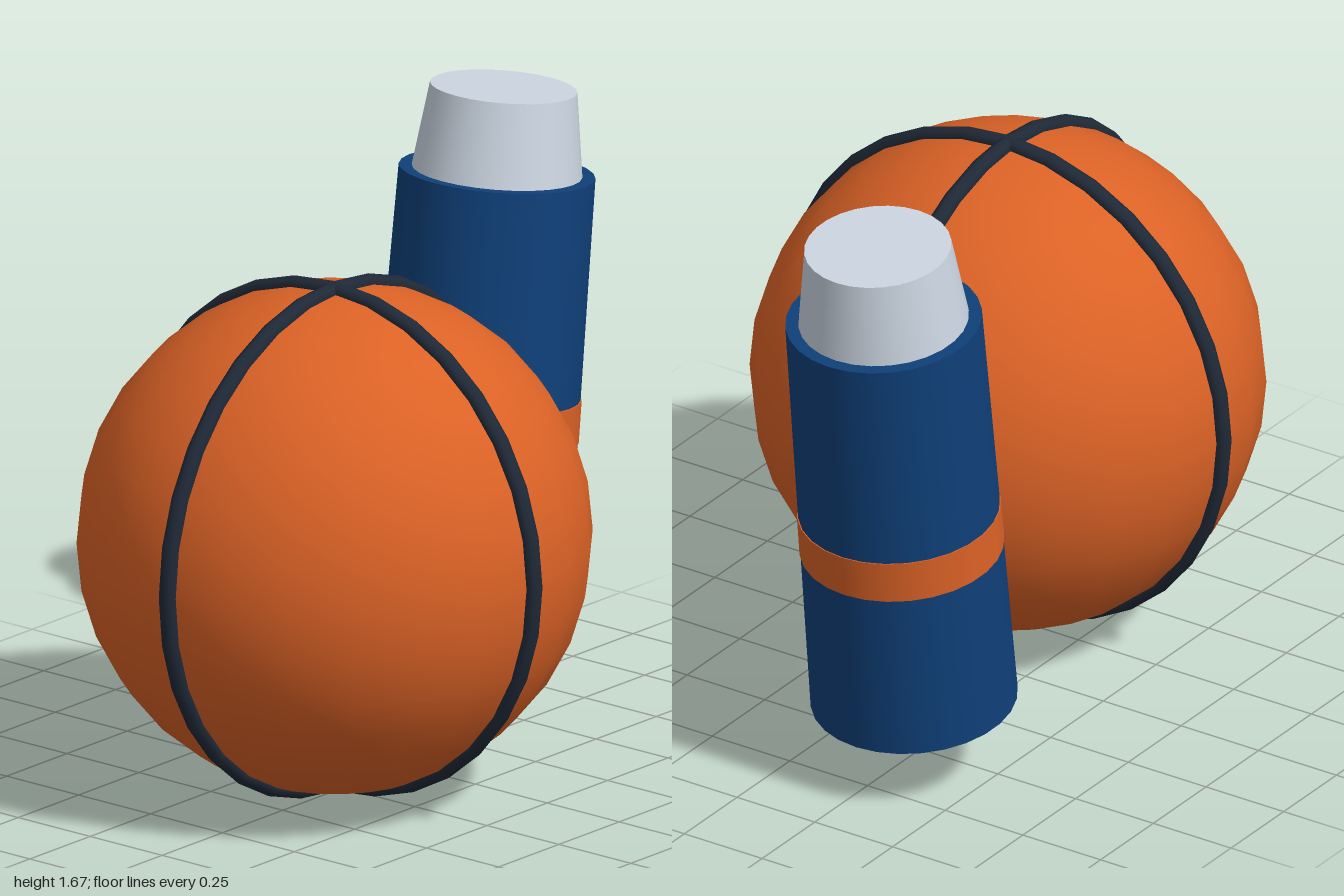
import * as THREE from 'three';

const material = (name, color) => {
  const m = new THREE.MeshStandardMaterial({ color });
  m.name = name;
  return m;
};

export function createModel() {
  const orange = material('orange', 0xdb6226);
  const navy = material('navy blue', 0x0f4079);
  const dark = material('dark slate', 0x1f2937);
  const silver = material('pale grey', 0xcbd5e1);

  const model = new THREE.Group();
  model.name = 'ballAndBottle';
  const add = (parent, name, geometry, mat) => {
    const mesh = new THREE.Mesh(geometry, mat);
    mesh.name = name;
    parent.add(mesh);
    return mesh;
  };

  // Ball with two upright seams crossing at the poles
  const ball = new THREE.Group();
  ball.name = 'ball';
  ball.position.set(-0.285, 0.717, 0);
  model.add(ball);
  add(ball, 'ballSkin', new THREE.SphereGeometry(0.69, 24, 16), orange);
  ['sideSeam', 'frontSeam'].forEach((name, i) => {
    const seam = add(ball, name, new THREE.TorusGeometry(0.69, 0.025, 8, 32), dark);
    seam.rotation.y = i * Math.PI / 2;
  });

  // Tilted bottle; its origin is the middle of the base
  const bottle = new THREE.Group();
  bottle.name = 'bottle';
  bottle.position.set(0.595, 0.217, -0.295);
  bottle.rotation.z = -0.12;
  model.add(bottle);
  const section = (name, top, bottom, y0, y1, mat, open = false) => {
    const geometry = new THREE.CylinderGeometry(top, bottom, y1 - y0, 28, 1, open);
    add(bottle, name, geometry, mat).position.y = (y0 + y1) / 2;
  };
  section('bottleBody', 0.263, 0.277, 0, 1.211, navy);
  section('bottleBand', 0.273, 0.274, 0.486, 0.605, orange);
  section('bottleCap', 0.197, 0.229, 1.205, 1.441, silver);

  return model;
}
